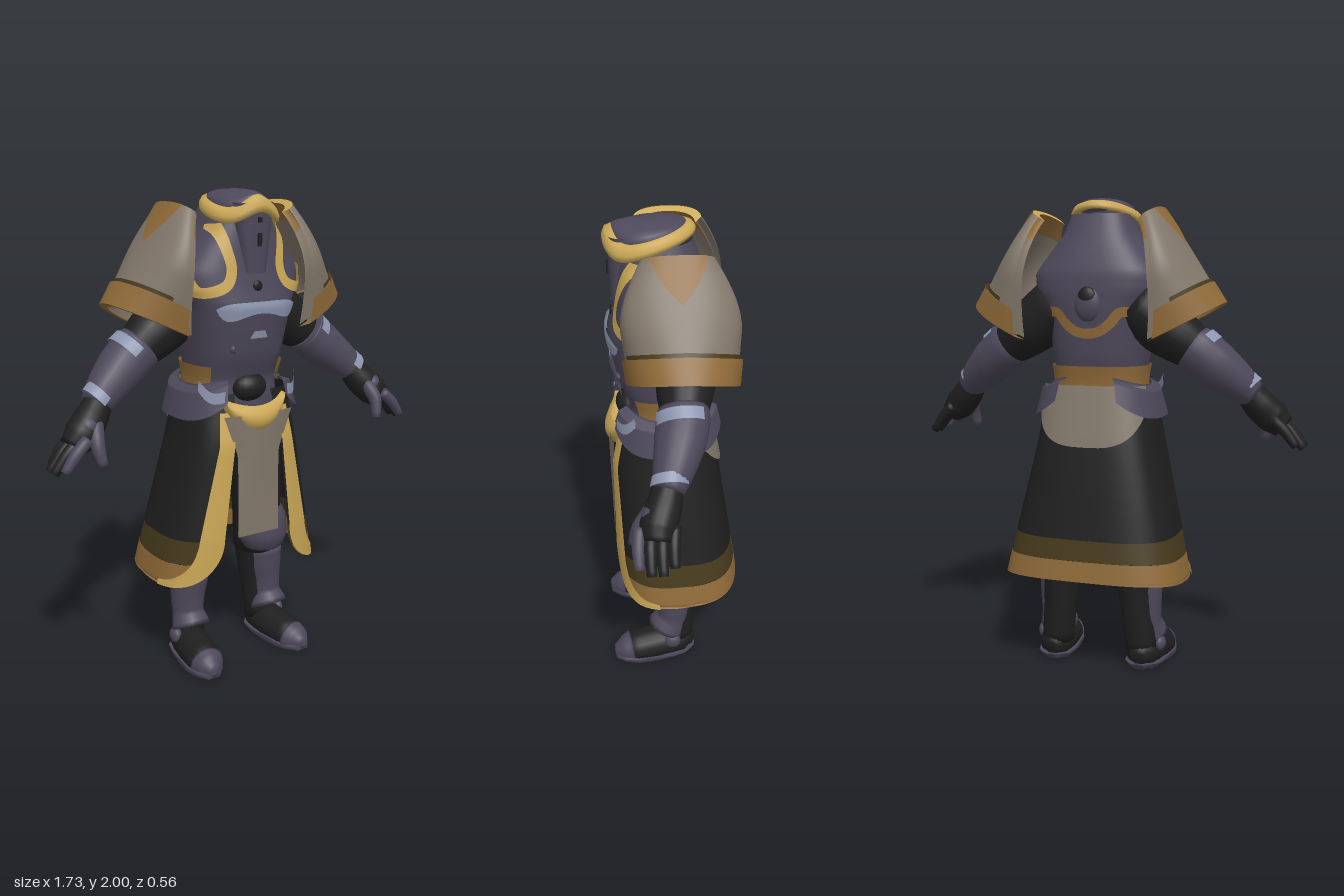
import * as THREE from 'three';
import { mergeVertices } from 'three/addons/utils/BufferGeometryUtils.js';

const mat = (name, color) => new THREE.MeshStandardMaterial({ name, color, side: THREE.DoubleSide });
const plum = mat('plum armour', 0x4d485a), black = mat('black cloth', 0x1f1f1f), gold = mat('gold', 0xcaa756),
  bronze = mat('bronze', 0x8f6a38), taupe = mat('taupe', 0x82776a), olive = mat('olive', 0x463a1c), steel = mat('pale steel', 0x8d96b0);

const { sin, cos, abs, sign, PI, min, max, sqrt, asin } = Math;
const lerp = THREE.MathUtils.lerp;
const pw = (v, p) => sign(v) * abs(v) ** p;

function add(group, name, material, geometry) {
  const m = new THREE.Mesh(geometry, material);
  m.name = name;
  group.add(m);
  return m;
}

// Smooth surface from a rule fn(u, v) -> [x, y, z]
function patch(fn, nu = 24, nv = 8) {
  const pos = [], idx = [];
  for (let j = 0; j <= nv; j++) for (let i = 0; i <= nu; i++) pos.push(...fn(i / nu, j / nv));
  for (let j = 0; j < nv; j++) for (let i = 0; i < nu; i++) {
    const a = j * (nu + 1) + i, b = a + nu + 1;
    idx.push(a, a + 1, b, a + 1, b + 1, b);
  }
  let g = new THREE.BufferGeometry();
  g.setAttribute('position', new THREE.Float32BufferAttribute(pos, 3));
  g.setIndex(idx);
  g = mergeVertices(g, 1e-4);
  g.computeVertexNormals();
  return g;
}

// Round limb through rows [x, y, z, radius], closed at both ends; lo and hi clamp the height
function limb(rows, lo = -9, hi = 9) {
  const curve = new THREE.CatmullRomCurve3(rows.map(r => new THREE.Vector3(r[0], r[1], r[2])));
  const n = rows.length - 1, nv = n * 4;
  return patch((u, v) => {
    const k = min(max((v * (nv + 2) - 1) / nv, 0), 1), i = min(Math.floor(k * n), n - 1);
    const r = v === 0 || v === 1 ? 0 : lerp(rows[i][3], rows[i + 1][3], k * n - i);
    const c = curve.getPoint(k), t = curve.getTangent(k);
    const a = new THREE.Vector3(0, 0, 1);
    if (abs(t.z) > 0.8) a.set(1, 0, 0);
    a.addScaledVector(t, -a.dot(t)).normalize();
    const b = new THREE.Vector3().crossVectors(t, a);
    c.addScaledVector(a, r * cos(u * 2 * PI)).addScaledVector(b, r * sin(u * 2 * PI));
    return [c.x, min(max(c.y, lo), hi), c.z];
  }, 18, nv + 2);
}

// Rounded cross-section at height y from rows [y, half width, front z, back z]
function section(rows, y) {
  let i = 0;
  while (i < rows.length - 2 && y > rows[i + 1][0]) i++;
  const k = (y - rows[i][0]) / (rows[i + 1][0] - rows[i][0]);
  const [w, f, b] = [1, 2, 3].map(j => lerp(rows[i][j], rows[i + 1][j], k));
  return { w, c: (f + b) / 2, d: (f - b) / 2 };
}
function around(rows, p, angle, y, off = 0) {
  const { w, c, d } = section(rows, y);
  return [(w + off) * pw(sin(angle), p), y, c + (d + off) * pw(cos(angle), p)];
}
const angleAt = (rows, p, x, y) => asin(min(abs(x) / section(rows, y).w, 0.985) ** (1 / p));

const TORSO = [[1.1, .2, .18, -.13], [1.25, .185, .18, -.13], [1.35, .2, .22, -.15], [1.45, .215, .24, -.16], [1.55, .235, .255, -.17],
  [1.62, .275, .235, -.17], [1.69, .28, .22, -.165], [1.77, .22, .21, -.14], [1.85, .16, .2, -.11], [1.93, .13, .18, -.08]];
const SKIRT = [[.4, .39, .24, -.28], [.6, .35, .25, -.255], [1.0, .26, .25, -.19], [1.22, .225, .2, -.14]];
const TP = .75, SP = .65;

// Point on the torso front (dir 1) or back (dir -1)
function onTorso(x, y, off, dir = 1) {
  const a = angleAt(TORSO, TP, x, y) * (sign(x) || 1);
  return around(TORSO, TP, dir > 0 ? a : PI - a, y, off);
}
// Flat trim following a line of [x, y] points on the torso
function ribbon(points, width, dir = 1) {
  const c = new THREE.CatmullRomCurve3(points.map(p => new THREE.Vector3(p[0], p[1], 0)));
  return patch((u, v) => {
    const p = c.getPoint(u), t = c.getTangent(u), o = (v - .5) * width;
    return onTorso(p.x - t.y * o, p.y + t.x * o, .009, dir);
  }, 40, 4);
}
// Plate on the torso front: half width eases from w0 at y0 to w1 at y1
const plate = (y0, y1, w0, w1, off) => patch((u, v) => onTorso((u * 2 - 1) * lerp(w0, w1, v), lerp(y0, y1, v), off), 20, 6);

function ball(group, name, material, x, y, z, sx, sy, sz) {
  const m = add(group, name, material, new THREE.SphereGeometry(1, 20, 14));
  m.position.set(x, y, z);
  m.scale.set(sx, sy, sz);
}

// Shoulder shell point: u runs front to back, v runs down from the neck edge
function shell(u, v, off = 0) {
  const a = (u - .5) * PI, half = v < .55 ? lerp(.135, .225, sin(v / .55 * PI / 2)) : lerp(.225, .205, (v - .55) / .45);
  const depth = (.06 + .21 * v ** 1.5) * (1 - max(cos(a), 0) ** .85) - off, rear = max(sin(a), 0) * v;
  return [lerp(.27, .525, v) - lerp(.825, .9, v) * depth, lerp(1.95, 1.575, v) - lerp(.565, .44, v) * depth - .02 * rear,
    lerp(-.005, -.02, v) - (half + off) * pw(sin(a), .9)];
}

// Everything on the model's left side
function buildSide() {
  const g = new THREE.Group();
  // Shoulder armour
  add(g, 'shoulderShell', taupe, patch((u, v) => shell(u, v), 32, 16));
  add(g, 'shoulderLining', taupe, patch((u, v) => shell(u, lerp(.2, 1, v), -.022), 32, 10));
  add(g, 'shoulderLiningTop', bronze, patch((u, v) => shell(u, v * .2, -.022), 32, 4));
  add(g, 'shoulderRim', gold, patch((u, v) => shell(u, 0, -.025 + v * .027), 32, 1));
  add(g, 'shoulderStripe', olive, patch((u, v) => shell(lerp(.1, .9, u), lerp(.765, .8, v), .005), 32, 1));
  add(g, 'shoulderHem', bronze, patch((u, v) => shell(u, lerp(.8, 1.02, v), .012), 32, 4));
  add(g, 'shoulderHemEdge', bronze, patch((u, v) => shell(u, 1.02, -.022 + v * .034), 32, 1));
  add(g, 'shoulderTriangle', bronze, patch((u, v) => shell(.5 + asin(pw((u * 2 - 1) * .75 * (1 - v), 1 / .9)) / PI, v * .4, .005), 12, 10));
  // Arm
  add(g, 'upperArm', black, limb([[.18, 1.56, -.03, .12], [.29, 1.47, -.03, .118], [.36, 1.42, -.02, .105], [.43, 1.37, -.01, .085]]));
  add(g, 'gauntlet', plum, limb([[.4, 1.395, -.01, .095], [.425, 1.375, -.01, .102], [.5, 1.315, .01, .098], [.58, 1.25, .04, .08], [.64, 1.195, .065, .06]]));
  add(g, 'elbowTrim', steel, patch((u, v) => {
    const a = lerp(-.7, 1.3, u);
    return [lerp(.418, .455, v) + .068 * cos(a), lerp(1.383, 1.352, v) + .08 * cos(a), -.01 + .108 * sin(a)];
  }, 16, 2));
  add(g, 'wristTrim', steel, patch((u, v) => {
    const a = lerp(-1.2, 1.6, u);
    return [lerp(.6, .63, v) + .047 * cos(a), lerp(1.235, 1.208, v) + .054 * cos(a), lerp(.05, .06, v) + .073 * sin(a)];
  }, 16, 2));
  add(g, 'palm', black, limb([[.62, 1.21, .06, .056], [.67, 1.15, .085, .068], [.72, 1.1, .108, .07], [.765, 1.06, .115, .05]]));
  ball(g, 'knuckleGuard', plum, .7, 1.135, .105, .05, .05, .064);
  for (let i = 0; i < 4; i++) {
    const z = .048 + i * .043, r = .024, out = i === 0 || i === 3 ? -.025 : 0;
    add(g, 'finger', i === 3 ? plum : black, limb([[.725, 1.1, z, r], [.79 + out / 2, 1.05, z + .008, r], [.85 + out, .975 - out / 2, z + .008, r * .75]]));
  }
  add(g, 'thumb', plum, limb([[.67, 1.14, .125, .034], [.685, 1.075, .175, .029], [.675, .995, .2, .019]]));
  // Leg
  add(g, 'thigh', black, limb([[.13, 1.1, 0, .11], [.14, .9, 0, .12], [.155, .65, .01, .11], [.165, .43, -.01, .1]]));
  add(g, 'calf', black, limb([[.16, .5, -.02, .095], [.168, .38, -.02, .085], [.178, .25, -.02, .073], [.195, .08, -.01, .07]]));
  add(g, 'knee', plum, limb([[.165, .63, .01, .09], [.17, .57, .025, .112], [.17, .5, .03, .114], [.172, .45, .025, .095]]));
  add(g, 'greave', plum, limb([[.19, .43, .01, .087], [.195, .35, .005, .084], [.202, .27, .005, .074], [.205, .2, .012, .068], [.207, .14, .04, .085]]));
  const foot = [[.2, .05, -.08, .03], [.2, .06, -.045, .065], [.205, .06, .02, .078], [.215, .05, .1, .078], [.224, .04, .18, .076], [.23, .035, .235, .055], [.232, .03, .275, .02]];
  add(g, 'boot', black, limb(foot, .02));
  add(g, 'sole', plum, limb(foot.map(([x, y, z, r]) => [x, y - .02, z, r + .007]), 0, .026));
  add(g, 'toeCap', plum, limb([[.224, .036, .2, .074], [.23, .033, .238, .058], [.232, .03, .278, .022]], .01));
  ball(g, 'ankleCap', plum, .27, .1, .015, .025, .036, .036);
  // Long open skirt with a rounded front corner
  const edge = y => y > .6 ? lerp(.16, .1, (y - .6) / .5) : .16 + .215 * (1 - sqrt(max(0, 1 - ((.6 - y) / .2) ** 2)));
  const band = (y0, y1, off) => patch((u, v) => {
    const y = lerp(y0, y1, v), p = around(SKIRT, SP, lerp(angleAt(SKIRT, SP, edge(y), y), PI, u), y, off);
    p[1] += .03 * max(0, -p[2] / .28) * max(0, (.6 - y) / .2);
    return p;
  }, 40, 10);
  add(g, 'skirt', black, band(.6, 1.2, 0));
  add(g, 'skirtStripe', olive, band(.5, .6, 0));
  add(g, 'skirtHem', bronze, band(.4, .5, .002));
  add(g, 'skirtFrontTrim', gold, patch((u, v) => {
    const y = .4 + .73 * v * v, x = edge(y) + u * lerp(.105, .06, min(1, max(0, (y - .55) / .45)));
    return around(SKIRT, SP, angleAt(SKIRT, SP, x, y), y, .009);
  }, 6, 40));
  // Hip guard and belt
  add(g, 'hipGuard', plum, patch((u, v) => {
    const a = lerp(.45, 2.75, u), end = abs(u - .5) * 2;
    const top = 1.25 + .02 * cos(a * 2), bottom = 1.095 + .075 * end ** 3;
    return around(TORSO, TP, a, lerp(bottom, top, v), v > .9 ? .02 : lerp(.078, .055, v));
  }, 28, 12));
  add(g, 'hipTrim', steel, patch((u, v) => {
    const a = lerp(.5, 1.05, u), mid = lerp(1.2, 1.245, u) - .025 * sin(u * PI);
    return around(TORSO, TP, a, mid + (v - .5) * .045, .074);
  }, 12, 3));
  add(g, 'belt', bronze, patch((u, v) => around(TORSO, TP, lerp(.9, PI, u), lerp(1.21, 1.31, v), .012), 20, 3));
  // Chest trim
  add(g, 'collarTrim', gold, ribbon([[.14, 1.87], [.122, 1.78], [.11, 1.7], [.13, 1.645], [.18, 1.618], [.235, 1.615], [.262, 1.66], [.262, 1.7]], .042));
  ball(g, 'ribStud', plum, .095, 1.385, .215, .022, .018, .016);
  return g;
}

export function createModel() {
  const model = new THREE.Group();
  const left = buildSide(), right = left.clone();
  left.name = 'leftSide';
  right.name = 'rightSide';
  right.scale.x = -1;
  model.add(left, right);

  // Torso and its front details
  add(model, 'torso', plum, patch((u, v) => around(TORSO, TP, u * 2 * PI, lerp(1.1, 1.93, v)), 48, 40));
  add(model, 'chestPlate', steel, patch((u, v) => {
    const s = u * 2 - 1, top = 1.572 - .022 * s ** 6, bottom = 1.525 - .075 * s * s + .095 * s ** 6;
    return onTorso(s * .175, lerp(bottom, top, v), .012);
  }, 32, 5));
  add(model, 'breastStud', steel, plate(1.425, 1.455, .04, .025, .01));
  add(model, 'bellyPlate', plum, plate(1.27, 1.42, .06, .11, .018));
  ball(model, 'chestPort', black, 0, 1.63, .232, .022, .022, .01);
  ball(model, 'beltCore', black, 0, 1.215, .17, .08, .06, .06);

  // Back vent with its collar
  add(model, 'backTrim', bronze, ribbon([[-.19, 1.53], [-.13, 1.53], [-.095, 1.49], [-.05, 1.455], [0, 1.445], [.05, 1.455], [.095, 1.49], [.13, 1.53], [.19, 1.53]], .04, -1));
  ball(model, 'backVent', plum, 0, 1.565, -.155, .06, .075, .035);
  ball(model, 'backVentHole', black, 0, 1.59, -.17, .04, .045, .02);

  // Face mask: a tapered wedge
  add(model, 'faceMask', plum, patch((u, v) => {
    const a = u * 2 * PI;
    return [lerp(.055, .09, v) * pw(sin(a), .6), lerp(1.68, 1.95, v), .16 + lerp(.075, .085, v) * pw(cos(a), .6)];
  }, 24, 8));
  for (const [y, h] of [[1.81, .05], [1.885, .02]]) {
    add(model, 'visorSlit', black, new THREE.BoxGeometry(.016, h, .008)).position.set(0, y, .245);
  }

  // Helmet: egg-shaped gold band, raised over the face, under a low dome
  const brim = (a, r, up) => {
    const c = cos(a), bottom = 1.95 - .05 * (1 + c) + .065 * max(c, 0) ** 6;
    return [.146 * r * sin(a) * (1 + .1 * c), bottom + up * lerp(.035, .065, (1 + c) / 2), .085 + .172 * r * c];
  };
  const BAND = [[.88, 0], [1.03, 0], [1.04, .4], [.97, .85], [.8, 1.05]];
  add(model, 'helmetBand', gold, patch((u, v) => brim(u * 2 * PI, ...BAND[Math.round(v * 4)]), 48, 4));
  add(model, 'helmetDome', plum, patch((u, v) => {
    const [x, y, z] = brim(u * 2 * PI, .83 * cos(v * PI / 2), .98);
    return [x, lerp(y, 2, sin(v * PI / 2)), z];
  }, 48, 10));

  // Front cloth, buckle and rear cloth
  add(model, 'frontCloth', taupe, patch((u, v) => {
    const y = lerp(.6, 1.12, v), w = y < .95 ? .1 : lerp(.1, .165, (y - .95) / .17);
    return [(u * 2 - 1) * w, y, .254 + .012 * v - .02 * (u * 2 - 1) ** 2 * v];
  }, 8, 16));
  add(model, 'buckle', gold, patch((u, v) => {
    const s = sin((u - .5) * PI), low = 1.18 - .14 * sqrt(max(0, 1 - s * s)), high = 1.185 - .035 * (1 - s * s);
    return [s * .145, lerp(low, high, v), .28 - .05 * s * s - .03 * (2 * v - 1) ** 2];
  }, 24, 8));
  add(model, 'rearCloth', taupe, patch((u, v) => {
    const s = u * 2 - 1;
    return around(SKIRT, SP, PI + s * 1.15, lerp(.98 + .17 * s * s, 1.23, v), .012);
  }, 24, 8));
  return model;
}
